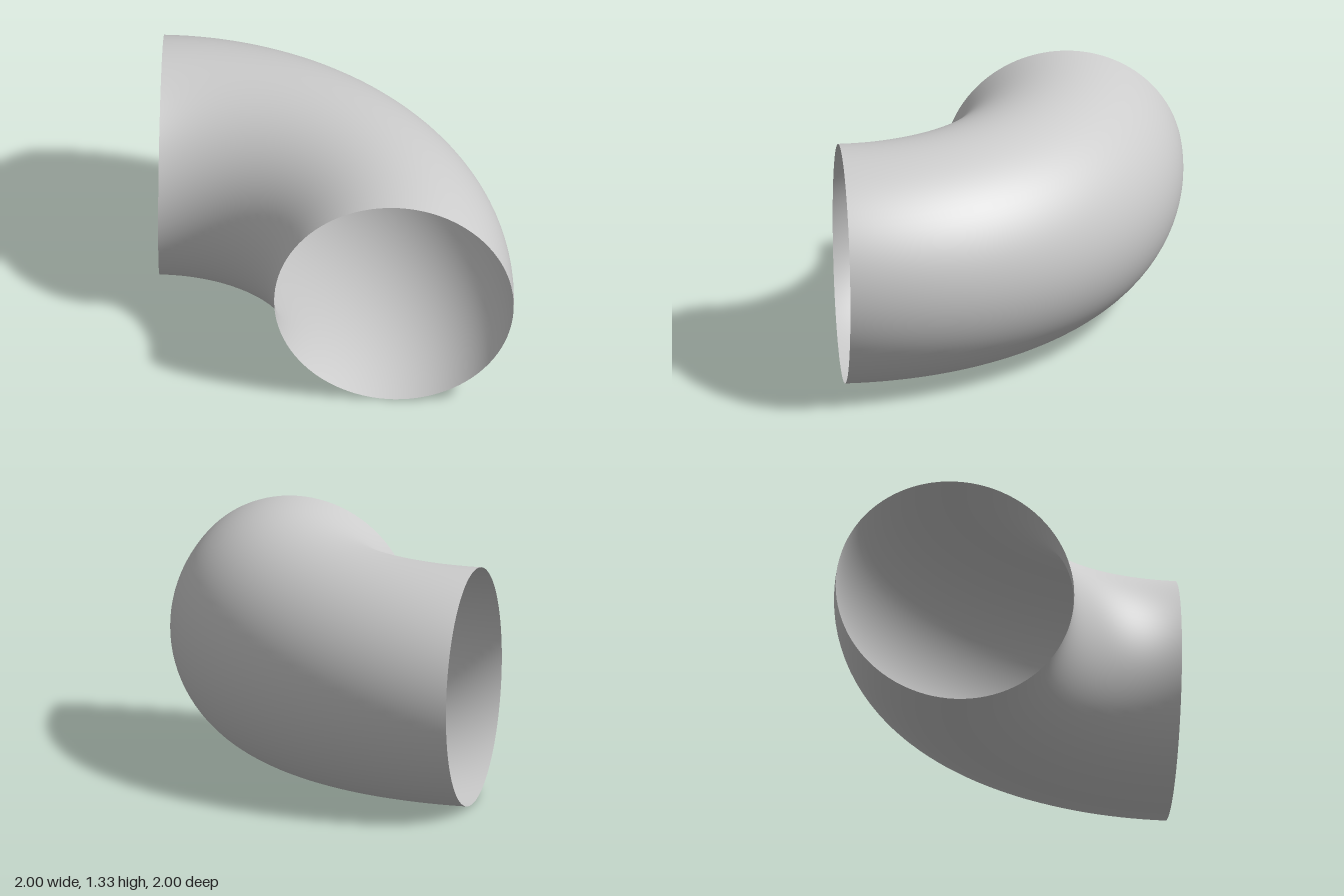
import * as THREE from 'three';

const TUBE = 2 / 3; // radius of the pipe
const BEND = 4 / 3; // radius of the bend's centre line

export function createModel() {
  const group = new THREE.Group();
  group.name = 'pipeElbow';

  const grey = new THREE.MeshStandardMaterial({ color: 0xcccccc, side: THREE.DoubleSide });
  grey.name = 'light grey';

  // Open quarter bend, laid flat, running from the front opening to the left-hand one
  const geometry = new THREE.TorusGeometry(BEND, TUBE, 96, 96, Math.PI / 2);
  geometry.rotateX(-Math.PI / 2);
  const elbow = new THREE.Mesh(geometry, grey);
  elbow.name = 'elbowShell';
  elbow.position.set(-1, TUBE, 1);
  group.add(elbow);

  return group;
}
